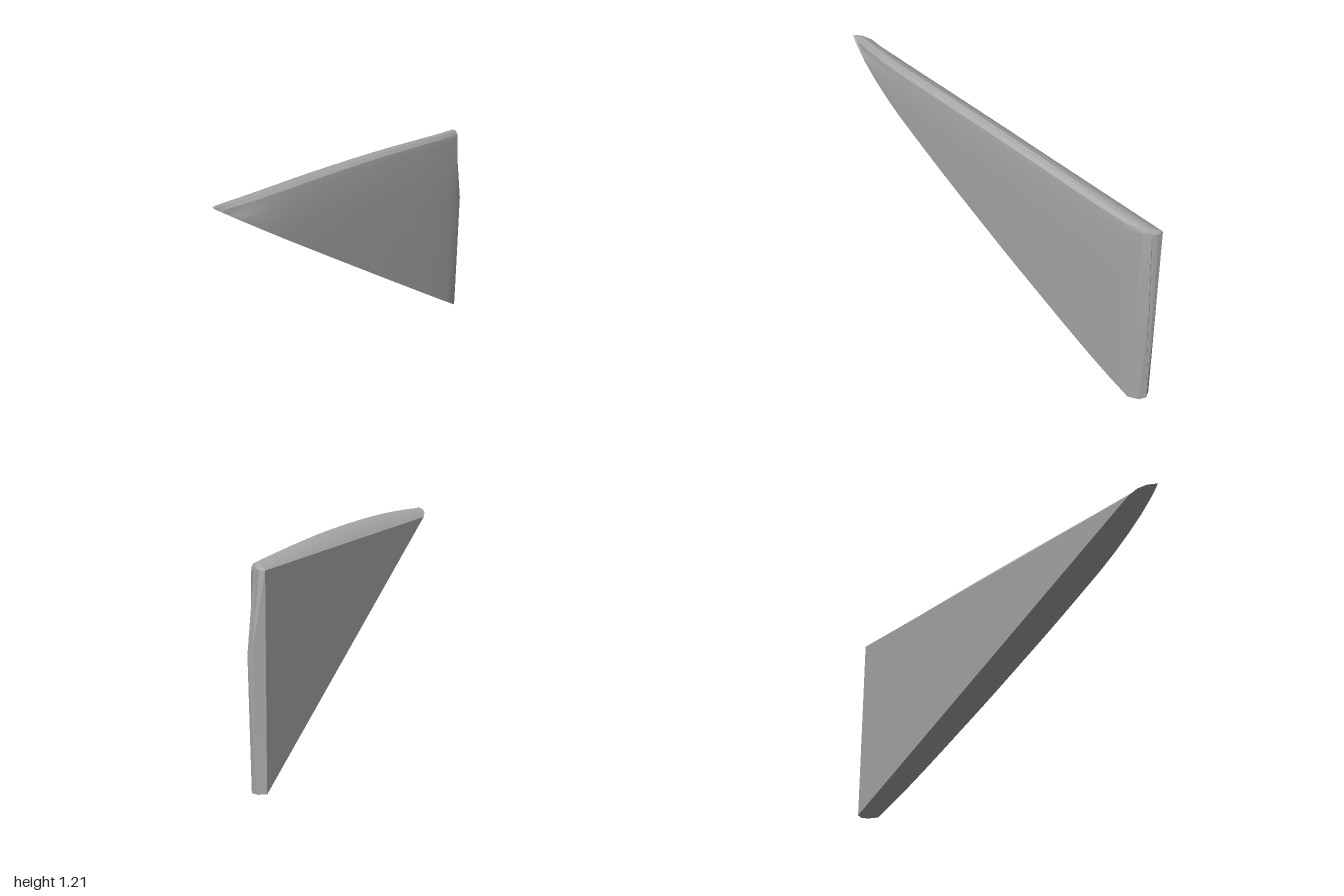
import * as THREE from 'three';
import { toCreasedNormals } from 'three/addons/utils/BufferGeometryUtils.js';

// Linear interpolation through [x, value] pairs
function sample(pairs, x) {
  for (let i = 1; i < pairs.length; i++) {
    const [x0, v0] = pairs[i - 1], [x1, v1] = pairs[i];
    if (x <= x1) return v0 + (v1 - v0) * Math.max(0, (x - x0) / (x1 - x0));
  }
  return pairs[pairs.length - 1][1];
}

// Outlines of the shard along x
const crest = [[-1, 1.24], [-0.8, 1.239], [-0.6, 1.235], [-0.4, 1.227], [-0.2, 1.215], [0, 1.201],
  [0.2, 1.184], [0.4, 1.163], [0.6, 1.14], [0.8, 1.116], [0.945, 1.1]];
const front = [[-1, 0.485], [-0.97, 0.484], [-0.9, 0.472], [-0.8, 0.45], [-0.6, 0.383], [-0.4, 0.295],
  [-0.2, 0.205], [0, 0.11], [0.2, 0.015], [0.4, -0.085], [0.6, -0.185], [0.8, -0.29], [0.945, -0.375]];
const tipBack = [[-1, 0.48], [-0.985, 0.43], [-0.96, 0.39], [-0.92, 0.359]];
const endBulge = [[0, 0.98], [0.7, 1], [1.07, 0.96]];

const cutY = x => 1.24 - 0.621 * (x + 1);
const backZ = x => (x < -0.92 ? sample(tipBack, x) : -0.06 - 0.455 * x);
const backTop = x => 1.132 - 0.065 * x;

// Cross-section: up the flat back, over the rounded top, down the front
function section(x, isEnd) {
  const base = cutY(x), top = sample(crest, x) - (isEnd ? 0.025 : 0);
  const zb = backZ(x), zf = sample(front, x);
  const backY = Math.max(base, backTop(x));
  const pts = [];
  for (const w of [0, 0.33, 0.66, 1]) pts.push([0, base + (backY - base) * w]);
  const rise = Math.max(0, top - backY);
  for (const [t, k] of [[0.2, 0.5], [0.42, 0.85], [0.6, 1], [0.74, 0.93]]) pts.push([t, backY + rise * k]);
  const shoulder = Math.max(base, top - 0.02), frontTop = Math.max(base, top - 0.055);
  pts.push([0.86, shoulder]);
  for (const w of [1, 0.66, 0.33, 0]) pts.push([1 - 0.1 * w * w, base + (frontTop - base) * w]);
  return pts.map(([t, y]) => {
    if (!isEnd) return [x, y, zb + (zf - zb) * t];
    // the end narrows to a bulging ridge
    const ex = sample(endBulge, y);
    return [ex, Math.max(cutY(ex), Math.min(y, 1.075)), -0.462 + 0.04 * t];
  });
}

function shardGeometry() {
  const xs = [-1, -0.985, -0.96, -0.92, -0.85];
  for (let i = 0; i <= 16; i++) xs.push(-0.75 + i * 0.1);
  xs.push(0.945);
  const rings = xs.map(x => section(x, false));
  rings.push(section(0.945, true));

  const out = [];
  const a = new THREE.Vector3(), b = new THREE.Vector3(), c = new THREE.Vector3();
  const tri = (p, q, r) => {
    a.fromArray(p); b.fromArray(q).sub(a); c.fromArray(r).sub(a);
    if (b.cross(c).length() > 1e-8) out.push(...p, ...q, ...r);
  };
  const n = rings[0].length;
  for (let i = 0; i < rings.length - 1; i++) {
    for (let j = 0; j < n; j++) {
      const k = (j + 1) % n, r = rings[i], s = rings[i + 1];
      tri(r[j], r[k], s[j]);
      tri(r[k], s[k], s[j]);
    }
  }
  // close the ridge and the tip
  const last = rings[rings.length - 1], first = rings[0];
  for (let j = 1; j < n - 1; j++) {
    tri(last[0], last[j], last[j + 1]);
    tri(first[0], first[j + 1], first[j]);
  }
  const geo = new THREE.BufferGeometry();
  geo.setAttribute('position', new THREE.Float32BufferAttribute(out, 3));
  return toCreasedNormals(geo, 0.45);
}

export function createModel() {
  const group = new THREE.Group();
  group.name = 'shard';
  const grey = new THREE.MeshStandardMaterial({ color: 0xa6a6a6 });
  grey.name = 'grey';
  const body = new THREE.Mesh(shardGeometry(), grey);
  body.name = 'shardBody';
  group.add(body);
  return group;
}
